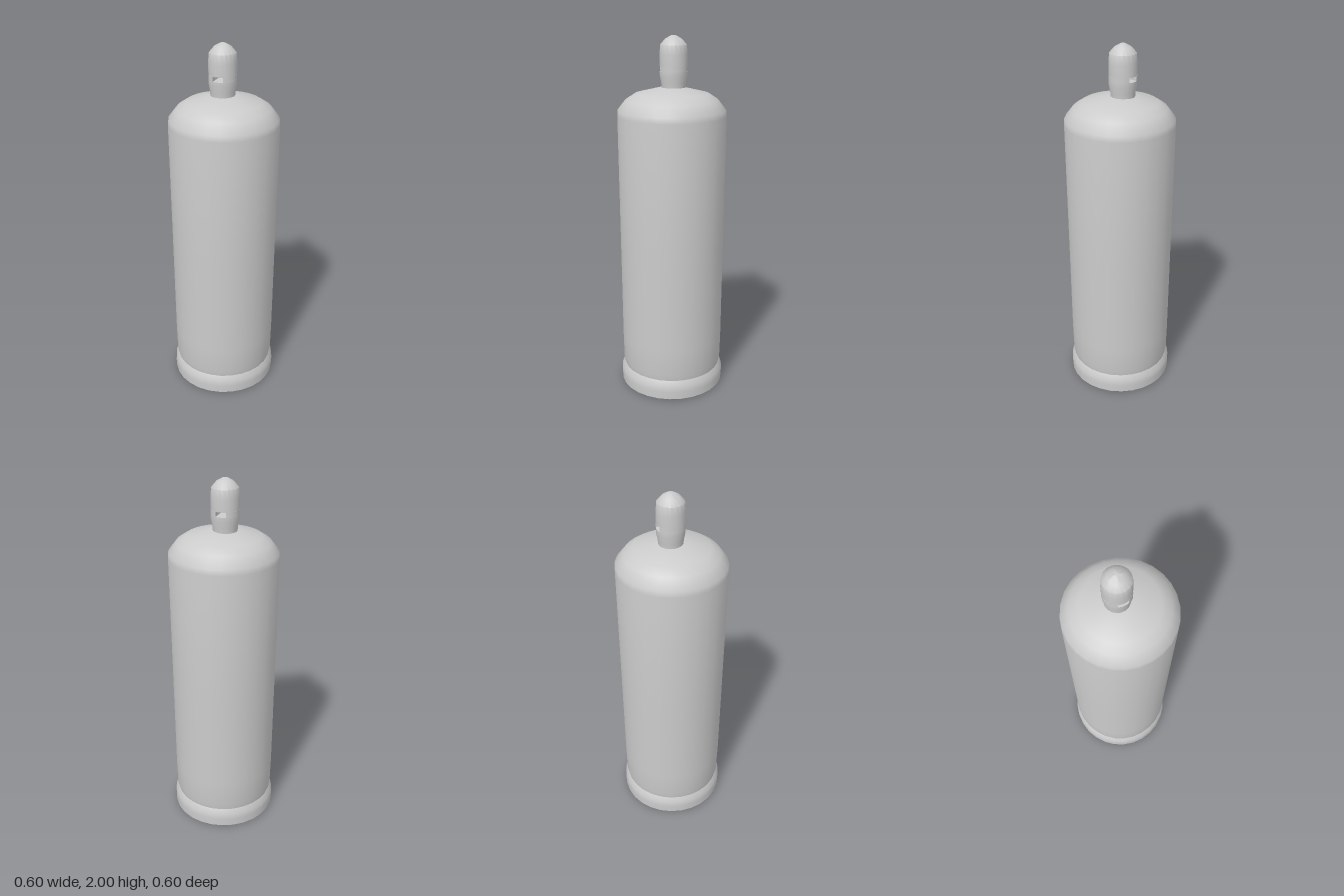
import * as THREE from 'three';
import { toCreasedNormals } from 'three/addons/utils/BufferGeometryUtils.js';

const material = new THREE.MeshStandardMaterial({ color: 0xcccccc, side: THREE.DoubleSide });

// Profile points are [radius, height], listed from bottom to top
function lathe(name, profile, segments, crease = 0.7) {
  const points = profile.map(([r, y]) => new THREE.Vector2(r, y));
  const geometry = toCreasedNormals(new THREE.LatheGeometry(points, segments), crease);
  const mesh = new THREE.Mesh(geometry, material);
  mesh.name = name;
  return mesh;
}

export function createModel() {
  const model = new THREE.Group();
  model.name = 'gasCylinder';

  // Tank with a sloping shoulder
  model.add(lathe('tank', [
    [0.279, 0.11], [0.286, 0.15], [0.289, 0.3], [0.292, 0.9],
    [0.296, 1.58], [0.293, 1.61], [0.25, 1.665], [0.2, 1.697], [0.07, 1.728], [0, 1.73],
  ], 28));

  // Rounded foot ring, hollow underneath with a recessed floor
  model.add(lathe('footRing', [
    [0, 0.075], [0.25, 0.07], [0.268, 0.05], [0.27, 0.008], [0.28, 0],
    [0.296, 0.006], [0.298, 0.05], [0.296, 0.085], [0.279, 0.115],
  ], 28, 0.9));

  // Valve, a capped post with a slot running right through it
  const valve = new THREE.Group();
  valve.name = 'valve';
  valve.position.set(-0.004, 0, -0.014);
  const radius = 0.074, slotBottom = 1.812, slotTop = 1.838, halfSlot = 0.028;

  valve.add(lathe('valveNeck', [
    [0.064, 1.71], [0.066, 1.75], [radius, 1.79], [radius, slotBottom], [0, slotBottom],
  ], 18));
  valve.add(lathe('valveHead', [
    [0, slotTop], [radius, slotTop], [0.075, 1.9], [0.071, 1.95], [0.045, 1.98], [0.015, 1.997], [0, 2],
  ], 18));

  // Two cheeks either side of the slot
  const slot = new THREE.Group();
  slot.name = 'valveSlot';
  slot.rotation.y = -0.53;
  const angle = Math.acos(halfSlot / radius);
  for (const side of [0, Math.PI]) {
    const shape = new THREE.Shape().absarc(0, 0, radius, side - angle, side + angle, false);
    const geometry = new THREE.ExtrudeGeometry(shape, {
      depth: slotTop - slotBottom, bevelEnabled: false, curveSegments: 8,
    });
    geometry.rotateX(-Math.PI / 2);
    const cheek = new THREE.Mesh(toCreasedNormals(geometry, 0.7), material);
    cheek.name = side ? 'rightCheek' : 'leftCheek';
    cheek.position.y = slotBottom;
    slot.add(cheek);
  }
  valve.add(slot);
  model.add(valve);

  return model;
}
